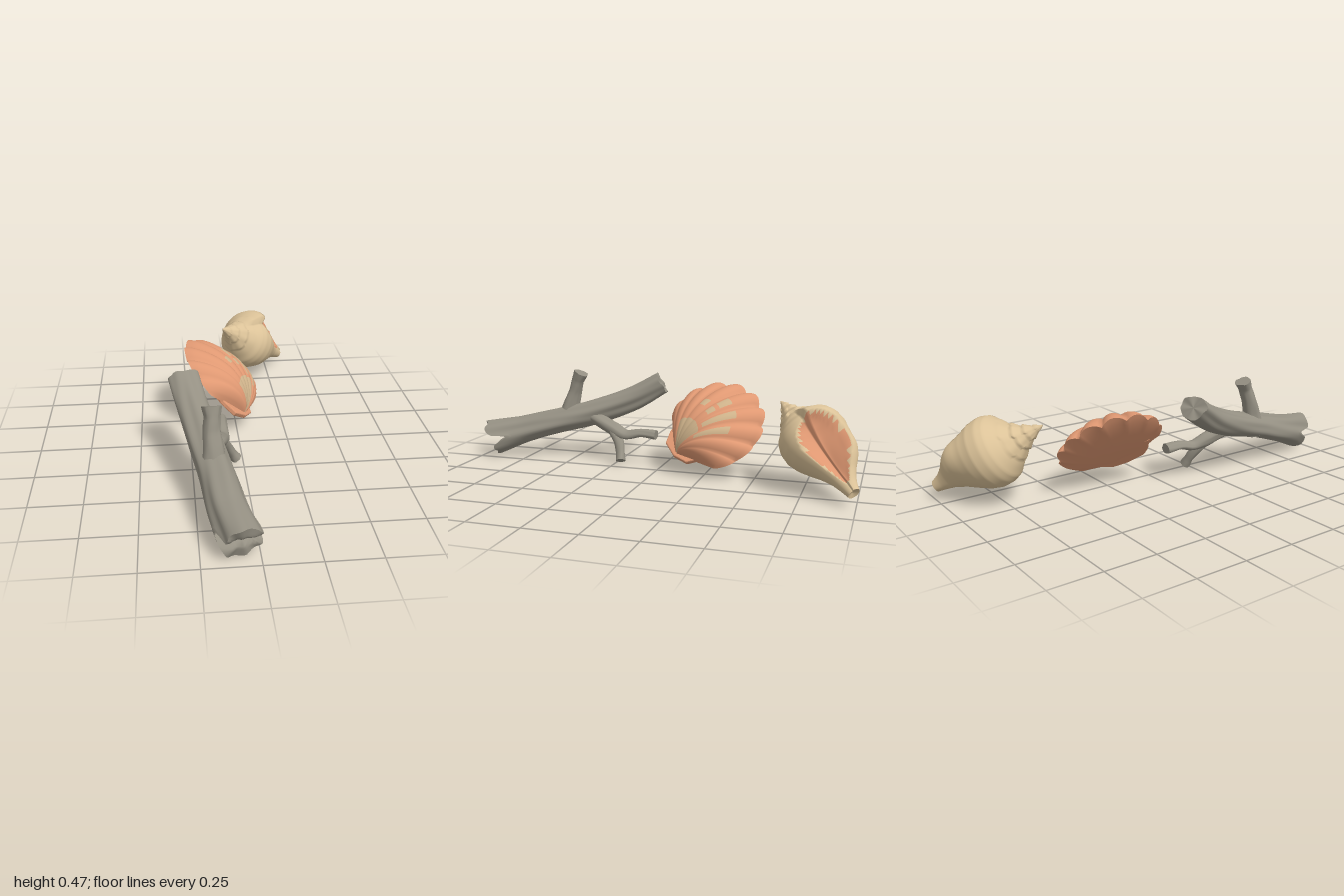
import * as THREE from 'three';

const V = (x, y, z) => new THREE.Vector3(x, y, z);
const mat = (name, color, side = THREE.FrontSide) =>
  Object.assign(new THREE.MeshStandardMaterial({ color, side }), { name });

// Smooth skin over rows of points; pick(i, j) chooses the material of each quad
function skin(name, rows, closed, mats, pick = () => 0) {
  const n = rows[0].length, groups = mats.map(() => []);
  for (let i = 0; i < rows.length - 1; i++) {
    for (let j = 0; j < (closed ? n : n - 1); j++) {
      const k = (j + 1) % n, a = i * n + j, b = i * n + k, c = a + n, d = b + n;
      groups[pick(i, j)].push(a, c, b, b, c, d);
    }
  }
  const geo = new THREE.BufferGeometry().setFromPoints(rows.flat());
  geo.setIndex(groups.flat());
  let start = 0;
  groups.forEach((g, m) => { geo.addGroup(start, g.length, m); start += g.length; });
  geo.computeVertexNormals();
  const mesh = new THREE.Mesh(geo, mats.length > 1 ? mats : mats[0]);
  mesh.name = name;
  return mesh;
}

// Interpolates a list of [position, value] pairs
function lerpTable(table, s) {
  let i = 1;
  while (i < table.length - 1 && s > table[i][0]) i++;
  const [a, va] = table[i - 1], [b, vb] = table[i];
  return va + (vb - va) * THREE.MathUtils.clamp((s - a) / (b - a), 0, 1);
}

// Gnarled wooden limb: points are [x, y, z, width radius, height radius];
// shift(t, v, f, q) slides a point along the limb (v is its height, q its distance from the core)
function limb(name, pts, material, { rows = 20, cols = 20, rough = 0.06, shift = () => 0 } = {}) {
  const curve = new THREE.CatmullRomCurve3(pts.map(p => V(p[0], p[1], p[2])));
  const last = pts.length - 1;
  const dir = V(...pts[last].slice(0, 3)).sub(V(...pts[0].slice(0, 3))).normalize();
  const ref = Math.abs(dir.y) > 0.65 ? V(0, 0, 1) : V(0, 1, 0);
  const rad = (t, k) => lerpTable(pts.map((p, i) => [i / last, p[k]]), t);
  const ring = (t, q = 1) => {
    const c = curve.getPoint(t), T = curve.getTangent(t);
    const side = T.clone().cross(ref).normalize(), up = side.clone().cross(T);
    return Array.from({ length: cols }, (_, j) => {
      const f = j / cols * Math.PI * 2;
      const k = q * (1 + rough * (Math.sin(3 * f + 4 * t) + 0.7 * Math.sin(5 * f - 5 * t + 1) + 0.5 * Math.sin(8 * f + 9 * t)));
      return c.clone().addScaledVector(side, rad(t, 3) * k * Math.cos(f))
        .addScaledVector(up, rad(t, 4) * k * Math.sin(f))
        .addScaledVector(T, shift(t, q * Math.sin(f), f, q));
    });
  };
  const body = Array.from({ length: rows + 1 }, (_, i) => ring(i / rows));
  // End faces start on a doubled rim for a sharp edge
  const face = [1, 0.85, 0.7, 0.55, 0.4, 0.25, 0.1, 0];
  return skin(name, [...face.map(q => ring(0, q)).reverse(), ...body, ...face.map(q => ring(1, q))], true, [material]);
}

function driftwood(wood) {
  const g = new THREE.Group();
  g.name = 'driftwood';
  // Trunk, split into an upper and a lower jaw at its front end
  g.add(limb('trunk', [
    [-0.277, 0.411, 0.06, 0.073, 0.058], [-0.24, 0.327, 0.2, 0.073, 0.062],
    [-0.195, 0.252, 0.4, 0.077, 0.064], [-0.152, 0.197, 0.6, 0.08, 0.064],
    [-0.12, 0.14, 0.8, 0.087, 0.073], [-0.072, 0.09, 0.972, 0.093, 0.094],
  ], wood, {
    rows: 44, cols: 44, rough: 0.05,
    shift: (t, v, f, q) => {
      const k = THREE.MathUtils.smoothstep(t, 0.84, 1), back = 1 - THREE.MathUtils.smoothstep(t, 0, 0.1);
      return k * (-0.1 * Math.exp(-((v / 0.2) ** 2)) - (v < 0 ? 0.02 : 0) + 0.008 * q * Math.sin(6 * f))
        + back * 0.004 * q * Math.sin(5 * f);
    },
  }));
  g.add(limb('upperBranch', [
    [-0.165, 0.17, 0.565, 0.06, 0.055], [-0.165, 0.275, 0.54, 0.046, 0.044], [-0.17, 0.355, 0.515, 0.04, 0.033],
    [-0.165, 0.415, 0.495, 0.035, 0.032], [-0.165, 0.459, 0.474, 0.045, 0.037],
  ], wood));
  g.add(limb('sideBranch', [
    [-0.2, 0.24, 0.45, 0.04, 0.035], [-0.14, 0.213, 0.36, 0.038, 0.034], [-0.115, 0.175, 0.27, 0.036, 0.035],
    [-0.1, 0.152, 0.2, 0.033, 0.024], [-0.1, 0.168, 0.12, 0.03, 0.021], [-0.098, 0.164, 0.035, 0.031, 0.025],
  ], wood));
  g.add(limb('sideTwig', [
    [-0.115, 0.175, 0.28, 0.03, 0.03], [-0.085, 0.12, 0.235, 0.026, 0.026],
    [-0.055, 0.065, 0.215, 0.022, 0.022], [-0.035, 0.03, 0.208, 0.027, 0.025],
  ], wood, { rows: 12, cols: 14 }));
  return g;
}

function scallop(salmon, sand) {
  const g = new THREE.Group();
  g.name = 'scallopShell';
  const ribs = 9, per = 8, cols = ribs * per, rows = 22, max = 1.12;
  // Ribbed fan: dir = -1 builds the domed face, dir = 1 the underside
  const fan = (dir, dome, ribPower) => Array.from({ length: rows + 1 }, (_, i) => {
    const s = i / rows;
    return Array.from({ length: cols + 1 }, (_, j) => {
      const th = dir * (j / cols * 2 - 1) * max;
      const rib = Math.abs(Math.sin((th / max + 1) / 2 * ribs * Math.PI)) ** 0.8;
      const r = s * (0.015 + 0.485 * Math.cos(th) ** 0.9) * (1 - 0.05 * Math.sin(th)) * (1 - 0.05 * s * (1 - rib));
      const arch = Math.max(0, Math.sin(Math.PI * s ** 0.8)) ** 0.75;
      const across = Math.max(0, 1 - (th / max) ** 2) ** 0.45;
      return V(r * Math.sin(th), r * Math.cos(th) - 0.02, dome * arch * across + 0.018 * s ** ribPower * rib * across);
    });
  });
  // Sandy beak and dashes: rib number, from, to
  const dashes = [[4, 0.44, 0.54], [4, 0.6, 0.72], [5, 0.36, 0.72], [6, 0.27, 0.66], [3, 0.52, 0.6]];
  const pick = (i, j) => {
    const s = (i + 0.5) / rows, c = cols - 1 - j, rib = Math.floor(c / per), k = c % per;
    if (s < 0.3 && rib > 1 && rib < 6) return 1;
    return k > 1 && k < 6 && dashes.some(d => d[0] === rib && s > d[1] && s < d[2]) ? 1 : 0;
  };
  g.add(skin('ribbedFace', fan(-1, 0.13, 1), false, [salmon, sand], pick));
  g.add(skin('underside', fan(1, -0.02, 6), false, [salmon]));
  // Hinge ears beside the beak
  const ears = new THREE.Shape([[-0.13, 0.03], [-0.09, -0.02], [0, -0.03], [0.075, -0.005], [0.095, 0.035], [0.13, 0.1], [0, 0.14], [-0.17, 0.12]]
    .map(p => new THREE.Vector2(...p)));
  const hinge = new THREE.Mesh(new THREE.ExtrudeGeometry(ears, { depth: 0.014, bevelSize: 0.006, bevelThickness: 0.006, bevelSegments: 2 }), salmon);
  hinge.name = 'hingeEars';
  hinge.position.z = -0.008;
  g.add(hinge);
  // Lean the fan back and to the side
  const h = V(0.568, -0.447, -0.69).normalize(), m = V(0.69, 0.715, 0.1).normalize();
  const u = m.clone().cross(h).normalize();
  g.quaternion.setFromRotationMatrix(new THREE.Matrix4().makeBasis(u.clone().cross(m), u, m));
  g.position.set(0.024, 0.113, -0.126);
  return g;
}

function whelk(tan, salmon) {
  const g = new THREE.Group();
  g.name = 'whelkShell';
  const length = 0.615, rows = 80, cols = 72, step = 0.045;
  const profile = [[0, 0.003], [0.05, 0.028], [0.1, 0.054], [0.15, 0.088], [0.19, 0.124], [0.215, 0.148], [0.25, 0.161],
    [0.3, 0.161], [0.35, 0.144], [0.4, 0.116], [0.46, 0.08], [0.52, 0.052], [0.57, 0.038], [0.615, 0.028]];
  const wrap = f => (f > Math.PI ? f - Math.PI * 2 : f);
  const mouth = (s, f) => ((s - 0.41) / 0.165) ** 2 + (wrap(f) / 0.78) ** 2;
  const rings = [];
  for (let i = 0; i <= rows; i++) {
    const s = i / rows * length;
    rings.push(Array.from({ length: cols }, (_, j) => {
      const f = j / cols * Math.PI * 2;
      let r = lerpTable(profile, s);
      // Stepped whorls on the spire, then a widening body whorl
      const body = THREE.MathUtils.smoothstep(s, 0.12, 0.2), spin = s / step + f / (Math.PI * 2);
      const fr = spin - Math.floor(spin);
      r *= 1 + (1 - body) * (0.2 * (fr - 0.5) + 0.03 * fr * Math.sin(9 * f));
      r *= 1 + body * (0.12 - 0.26 * f / (Math.PI * 2));
      // Flared outer lip
      r += 0.05 * Math.exp(-(((s - 0.455) / 0.085) ** 2) - ((wrap(f) - 1.05) / 0.75) ** 2);
      // Hollow mouth
      const e = mouth(s, f);
      if (e < 1) r *= 1 - 0.6 * (1 - e) ** 0.6;
      return V(r * Math.cos(f), s, r * Math.sin(f));
    }));
  }
  rings.push(rings[rows].map(p => p.clone()), rings[rows].map(() => V(0, length - 0.01, 0)));
  g.add(skin('spiralBody', rings, true, [tan, salmon], (i, j) =>
    (mouth((i + 0.5) / rows * length, (j + 0.5) / cols * Math.PI * 2) < 0.97 ? 1 : 0)));
  // Spire points up and forward, mouth towards the model's left
  const A = V(0.594, -0.52, -0.61).normalize(), side = V(0.66, 0.754, 0);
  const Z = side.clone().cross(A).normalize();
  g.quaternion.setFromRotationMatrix(new THREE.Matrix4().makeBasis(A.clone().cross(Z), A, Z));
  g.position.set(-0.035, 0.385, -0.61);
  return g;
}

export function createModel() {
  const wood = mat('driftwoodGrey', 0x959083);
  const salmon = mat('salmon', 0xdf9872, THREE.DoubleSide);
  const sand = mat('sand', 0xceb28a, THREE.DoubleSide);
  const tan = mat('tan', 0xdbc298, THREE.DoubleSide);
  const model = new THREE.Group();
  model.name = 'beachFinds';
  model.add(driftwood(wood), scallop(salmon, sand), whelk(tan, salmon));
  return model;
}
